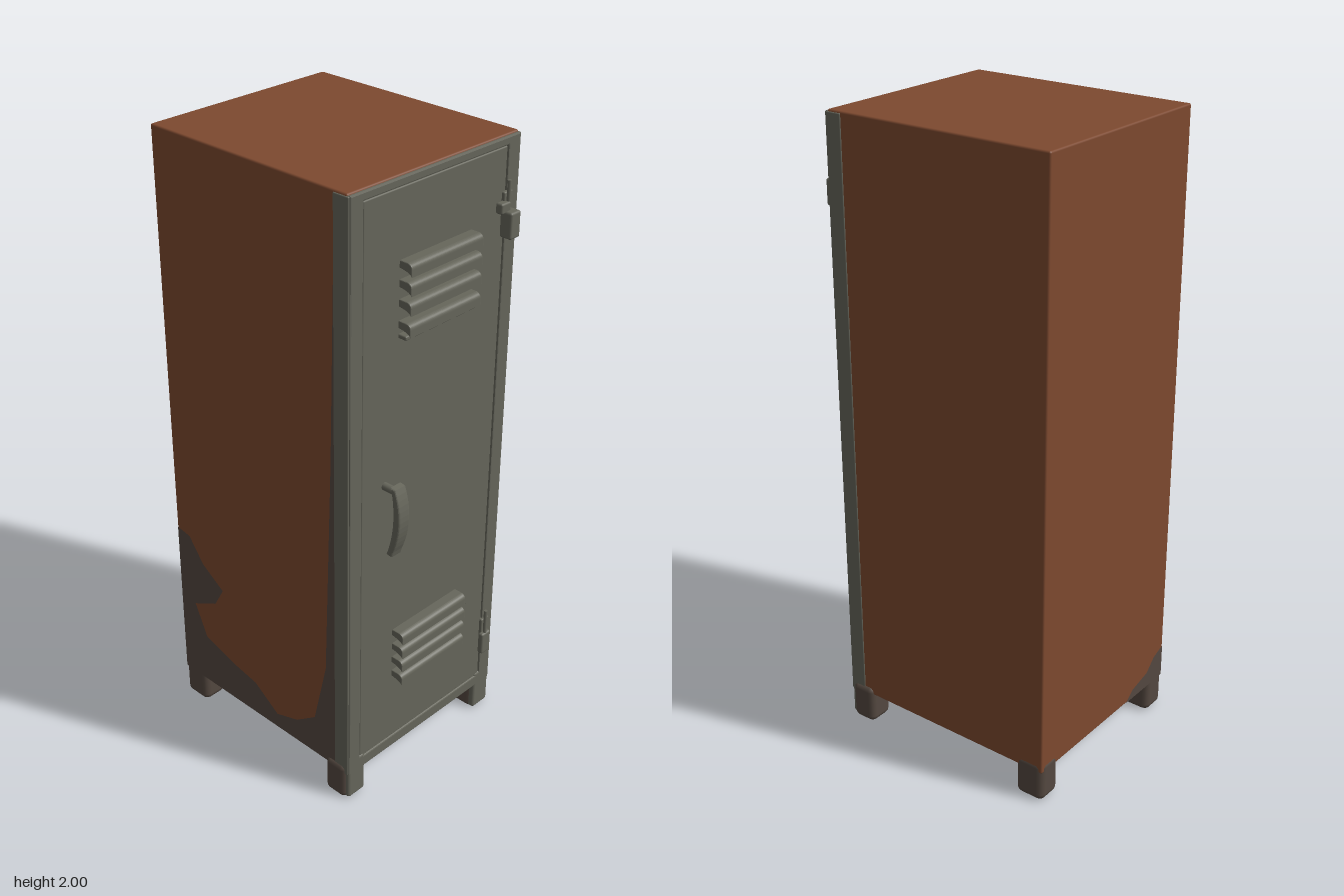
import * as THREE from 'three';
import { RoundedBoxGeometry } from 'three/addons/geometries/RoundedBoxGeometry.js';

const paint = (name, color, side = THREE.FrontSide) => {
  const m = new THREE.MeshStandardMaterial({ color, side });
  m.name = name;
  return m;
};

export function createModel() {
  const rust = paint('rust orange', 0x7d492f);
  const grey = paint('grey enamel', 0x66665b);
  const worn = paint('worn brown', 0x544840, THREE.DoubleSide);
  const dark = paint('dark underside', 0x4a3a31);

  const locker = new THREE.Group();
  locker.name = 'locker';

  const add = (name, geometry, material, parent = locker) => {
    const mesh = new THREE.Mesh(geometry, material);
    mesh.name = name;
    parent.add(mesh);
    return mesh;
  };
  // Box given by its minimum and maximum corners, with softened edges
  const block = (name, a, b, material, radius = 0.004, parent = locker) => {
    const size = b.map((v, i) => v - a[i]);
    const mesh = add(name, new RoundedBoxGeometry(...size, 2, radius), material, parent);
    mesh.position.set(...a.map((v, i) => (v + b[i]) / 2));
    return mesh;
  };
  const shapeOf = (points) => new THREE.Shape(points.map((p) => new THREE.Vector2(...p)));
  // Side profile in (z, y), extruded across x and centred on x = 0
  const profile = (shape, width, bevel) => {
    const g = new THREE.ExtrudeGeometry(shape, {
      depth: width - 2 * bevel, bevelEnabled: bevel > 0, bevelSize: bevel, bevelOffset: -bevel,
      bevelThickness: bevel, bevelSegments: 3, curveSegments: 12,
    });
    g.translate(0, 0, -(width - 2 * bevel) / 2);
    return g.rotateY(-Math.PI / 2);
  };

  // Cabinet shell and its floor
  block('cabinet', [-0.335, 0.105, -0.42], [0.335, 2, 0.336], rust, 0.006);
  block('floor', [-0.325, 0.1, -0.41], [0.325, 0.109, 0.33], dark, 0.002);

  // Front frame around the door opening
  const frame = shapeOf([[-0.333, 0.1], [0.333, 0.1], [0.333, 1.995], [-0.333, 1.995]]);
  frame.holes.push(new THREE.Path([[-0.285, 0.14], [-0.285, 1.97], [0.285, 1.97], [0.285, 0.14]]
    .map((p) => new THREE.Vector2(...p))));
  const frameGeometry = new THREE.ExtrudeGeometry(frame, {
    depth: 0.006, bevelThickness: 0.004, bevelSize: 0.004, bevelOffset: -0.004, bevelSegments: 2,
  });
  add('doorFrame', frameGeometry, grey).position.z = 0.335;
  block('door', [-0.283, 0.142, 0.325], [0.283, 1.968, 0.342], grey, 0.004);

  // Frame returns along both sides, and the four feet
  for (const s of [-1, 1]) {
    const side = s < 0 ? 'right' : 'left';
    const span = (p, q) => (s > 0 ? [p, q] : [-q, -p]);
    const [r0, r1] = span(0.329, 0.338);
    block(side + 'FrameReturn', [r0, 0.1, 0.287], [r1, 1.994, 0.342], grey, 0.003);
    const [f0, f1] = span(0.262, 0.335);
    block(side + 'FrontFootCover', [f0, 0.005, 0.285], [f1, 0.15, 0.345], grey, 0.01);
    const [w0, w1] = span(0.258, 0.345);
    block(side + 'FrontFoot', [w0, 0, 0.25], [w1, 0.13, 0.335], worn, 0.02);
    const [b0, b1] = span(0.25, 0.337);
    block(side + 'BackFoot', [b0, 0, -0.422], [b1, 0.14, -0.322], worn, 0.022);
  }

  // Worn paint on the right side, (z, y) outline
  const sidePatch = new THREE.ShapeGeometry(shapeOf([
    [-0.415, 0.108], [0.29, 0.108], [0.29, 1.9], [0.275, 1.2], [0.25, 0.47], [0.2, 0.25],
    [0.12, 0.19], [0.03, 0.16], [-0.07, 0.23], [-0.17, 0.25], [-0.3, 0.29], [-0.35, 0.4],
    [-0.25, 0.45], [-0.21, 0.52], [-0.3, 0.58], [-0.36, 0.66], [-0.415, 0.67],
  ])).rotateY(-Math.PI / 2);
  add('sideWear', sidePatch, worn).position.x = -0.337;

  // Worn corner on the back, (x, y) outline
  const backPatch = new THREE.ShapeGeometry(shapeOf([
    [-0.33, 0.108], [-0.12, 0.108], [-0.16, 0.14], [-0.24, 0.16], [-0.28, 0.2], [-0.33, 0.22],
  ]));
  add('backWear', backPatch, worn).position.z = -0.422;

  // Bare streak under the floor
  block('floorStreak', [-0.12, 0.098, -0.3], [0.06, 0.103, -0.2], rust, 0.001);

  // Hooded vent slats, listed by their top edge
  const hood = new THREE.Shape();
  hood.moveTo(0.335, 0);
  hood.lineTo(0.37, 0);
  hood.quadraticCurveTo(0.385, -0.003, 0.385, -0.016);
  hood.lineTo(0.385, -0.038);
  hood.quadraticCurveTo(0.375, -0.024, 0.335, -0.022);
  const slat = profile(hood, 0.29, 0.003);
  const vents = { upperVent: [1.767, 1.712, 1.655, 1.592], lowerVent: [0.56, 0.508, 0.457, 0.405] };
  for (const [name, tops] of Object.entries(vents)) {
    const vent = new THREE.Group();
    vent.name = name;
    locker.add(vent);
    for (const y of tops) add('ventSlat', slat, grey, vent).position.y = y;
  }
  block('upperVentLip', [-0.145, 1.54, 0.335], [0.145, 1.553, 0.37], grey, 0.004);

  // Curved pull handle on one stud
  const grip = new THREE.Shape();
  grip.moveTo(0.384, 1.115);
  grip.lineTo(0.402, 1.112);
  grip.quadraticCurveTo(0.442, 1.01, 0.397, 0.9);
  grip.lineTo(0.392, 0.882);
  grip.lineTo(0.372, 0.885);
  grip.quadraticCurveTo(0.412, 1.0, 0.384, 1.115);
  const handle = new THREE.Group();
  handle.name = 'handle';
  handle.position.x = -0.19;
  locker.add(handle);
  add('handleGrip', profile(grip, 0.046, 0.006), grey, handle);
  const stud = add('handleStud', new THREE.CylinderGeometry(0.012, 0.012, 0.06, 16), grey, handle);
  stud.rotation.x = Math.PI / 2;
  stud.position.set(0, 1.093, 0.365);

  // Hinges with pins on the left of the door
  const hinge = (name, y, depth) => {
    const g = new THREE.Group();
    g.name = name;
    g.position.set(0.28, y, 0);
    locker.add(g);
    block('hingePlate', [-0.012, -0.06, 0.335], [0.024, 0.065, 0.352], grey, 0.004, g);
    block('hingeKnuckle', [-0.02, -0.065, 0.345], [0.022, 0.015, depth], grey, 0.007, g);
    const pin = add('hingePin', new THREE.CylinderGeometry(0.006, 0.006, 0.1, 12), grey, g);
    pin.position.set(0, 0.05, 0.357);
    return g;
  };
  const top = hinge('upperHinge', 1.775, 0.387);
  block('hingeTab', [-0.036, 0.008, 0.34], [0.004, 0.04, 0.365], grey, 0.006, top);
  hinge('lowerHinge', 0.305, 0.365).position.x = 0.288;

  return locker;
}
